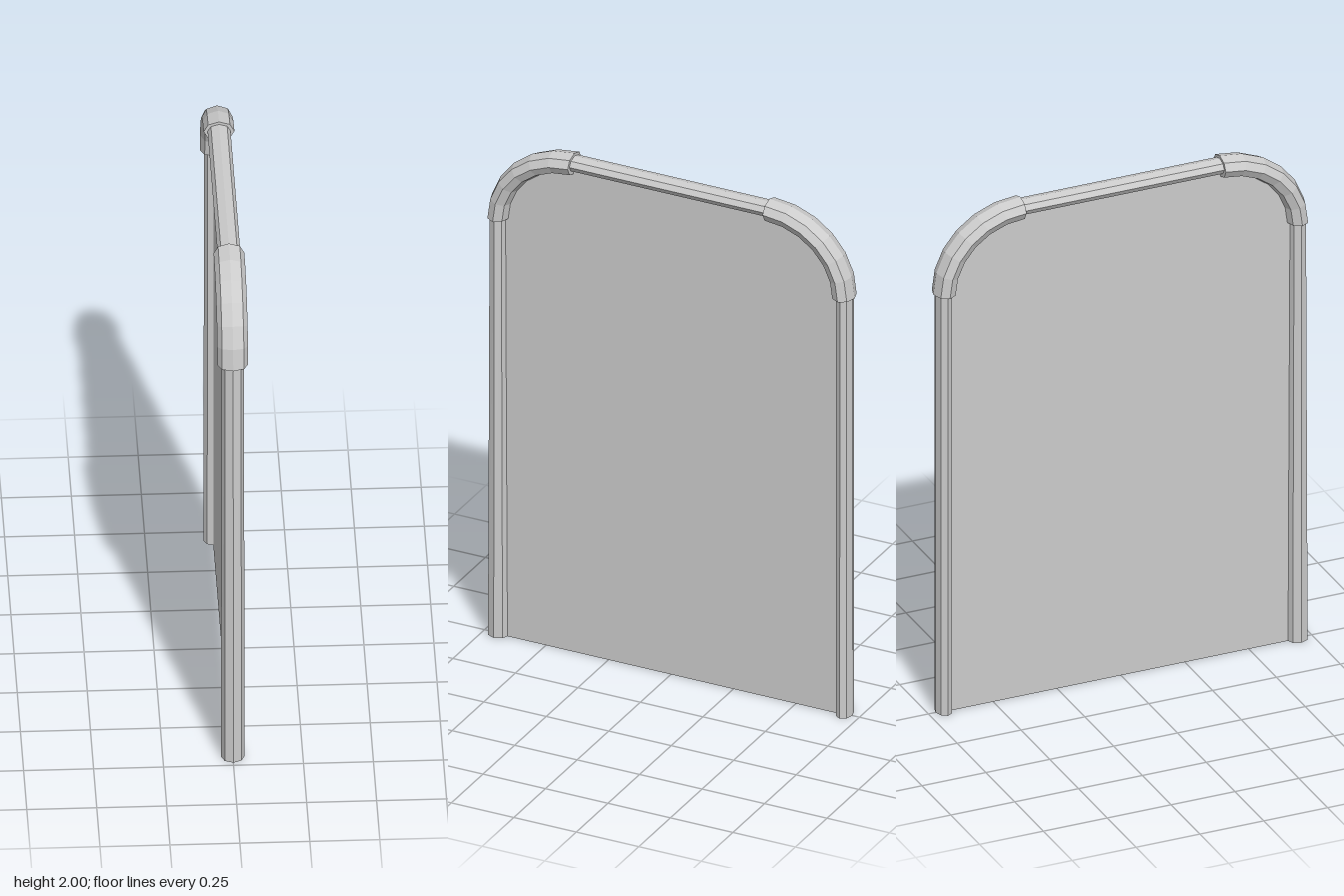
import * as THREE from 'three';

const SIDES = 8;
const material = new THREE.MeshStandardMaterial({ color: 0xcccccc, flatShading: true });

// Sweeps an eight-sided oval along stations in the z-y plane.
// Station: centre z, y; unit outward direction nz, ny; half width a (x), half depth b.
function sweep(name, stations) {
  const pos = [], index = [];
  for (const s of stations) {
    for (let i = 0; i < SIDES; i++) {
      const t = (i / SIDES) * Math.PI * 2, d = Math.cos(t) * s.b;
      pos.push(Math.sin(t) * s.a, s.y + s.ny * d, s.z + s.nz * d);
    }
  }
  const last = (stations.length - 1) * SIDES;
  for (let r = 0; r < last; r += SIDES) {
    for (let i = 0; i < SIDES; i++) {
      const j = (i + 1) % SIDES;
      index.push(r + i, r + j, r + SIDES + j, r + i, r + SIDES + j, r + SIDES + i);
    }
  }
  // End caps
  for (let i = 1; i < SIDES - 1; i++) {
    index.push(0, i + 1, i, last, last + i, last + i + 1);
  }
  const geometry = new THREE.BufferGeometry();
  geometry.setAttribute('position', new THREE.Float32BufferAttribute(pos, 3));
  geometry.setIndex(index);
  geometry.computeVertexNormals();
  const mesh = new THREE.Mesh(geometry, material);
  mesh.name = name;
  return mesh;
}

// Curved corner sleeve, running from the post up to the top rail (+z side)
function elbowStations() {
  const out = [], steps = 6;
  for (let i = 0; i <= steps; i++) {
    const t = (i / steps) * Math.PI / 2;
    out.push({
      z: 0.39 + 0.3 * Math.cos(t), y: 1.68 + 0.28 * Math.sin(t),
      nz: Math.cos(t), ny: Math.sin(t), a: 0.055, b: 0.041,
    });
  }
  return out;
}

// The same stations on the -z side, reordered so the faces stay outward
const mirror = (stations) => stations.map((s) => ({ ...s, z: -s.z, nz: -s.nz })).reverse();

export function createModel() {
  const group = new THREE.Group();
  group.name = 'roundedPanel';

  // Side posts; the front one is thicker and tapers upward
  const post = (b0, b1) => [
    { z: 0.692, y: 0, nz: 1, ny: 0, a: 0.042, b: b0 },
    { z: 0.692, y: 1.72, nz: 1, ny: 0, a: 0.04, b: b1 },
  ];
  group.add(sweep('frontPost', post(0.041, 0.033)));
  group.add(sweep('backPost', mirror(post(0.03, 0.03))));

  // Top rail
  group.add(sweep('topRail', [0.41, -0.41].map(
    (z) => ({ z, y: 1.962, nz: 0, ny: 1, a: 0.041, b: 0.028 }))));

  // Corner sleeves
  group.add(sweep('frontElbow', elbowStations()));
  group.add(sweep('backElbow', mirror(elbowStations())));

  // Thin panel with rounded upper corners, following the frame centre line
  const shape = new THREE.Shape();
  shape.moveTo(-0.69, 0);
  shape.lineTo(0.69, 0);
  shape.lineTo(0.69, 1.68);
  shape.absellipse(0.39, 1.68, 0.3, 0.28, 0, Math.PI / 2, false, 0);
  shape.lineTo(-0.39, 1.96);
  shape.absellipse(-0.39, 1.68, 0.3, 0.28, Math.PI / 2, Math.PI, false, 0);
  shape.closePath();
  const thickness = 0.016;
  const geometry = new THREE.ExtrudeGeometry(shape, {
    depth: thickness, bevelEnabled: false, curveSegments: 6,
  });
  geometry.translate(0, 0, -thickness / 2);
  geometry.rotateY(Math.PI / 2);
  const panel = new THREE.Mesh(geometry, material);
  panel.name = 'panel';
  group.add(panel);

  return group;
}
